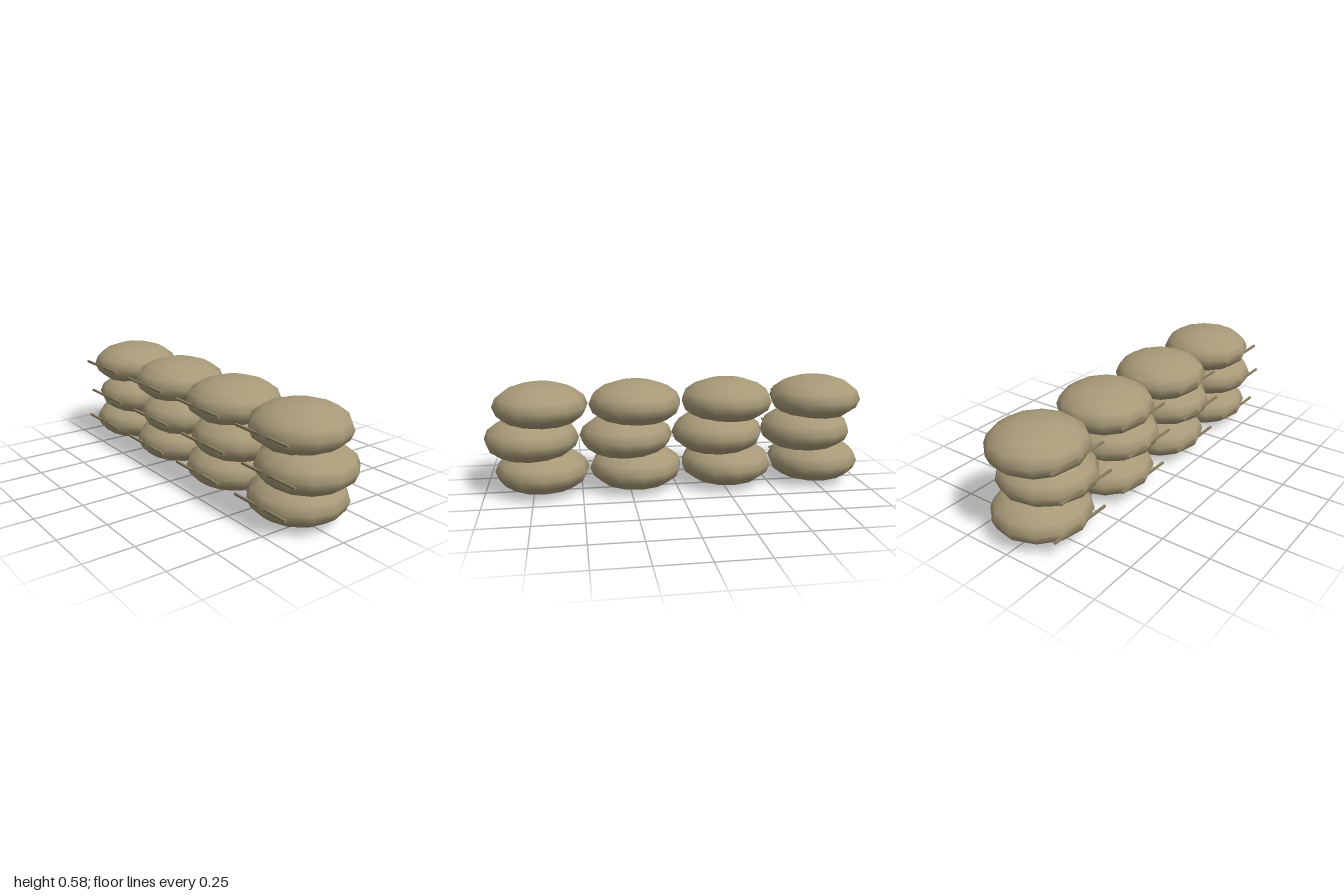
import * as THREE from 'three';

export function createModel() {
  const wall = new THREE.Group();
  wall.name = 'sandbagWall';

  const burlap = new THREE.MeshStandardMaterial({ color: 0xa89a78 });
  burlap.name = 'burlap';
  const seamThread = new THREE.MeshStandardMaterial({ color: 0x8c7f62 });
  seamThread.name = 'seamThread';

  // Flattened, coarse, smooth-shaded bag and a thin stitched seam bar
  const bagGeometry = new THREE.SphereGeometry(0.242, 12, 8);
  bagGeometry.scale(1, 0.119 / 0.242, 1);
  const seamGeometry = new THREE.BoxGeometry(0.35, 0.011, 0.011);

  const rows = 3, columns = 4, spacing = 0.485, rowHeight = 0.169;
  for (let row = 0; row < rows; row++) {
    // Middle course is shifted sideways
    const shift = row % 2 ? 0.024 : -0.026;
    for (let column = 0; column < columns; column++) {
      const x = (column - (columns - 1) / 2) * spacing + shift;
      const y = 0.121 + row * rowHeight;

      const bag = new THREE.Mesh(bagGeometry, burlap);
      bag.name = `sandbag_${row}_${column}`;
      bag.position.set(x, y, 0);
      bag.rotation.y = row % 2 ? -0.08 : 0.08; // slight hand-laid twist
      wall.add(bag);

      const seam = new THREE.Mesh(seamGeometry, seamThread);
      seam.name = `seam_${row}_${column}`;
      seam.position.set(x, y, 0.23);
      wall.add(seam);
    }
  }
  return wall;
}
